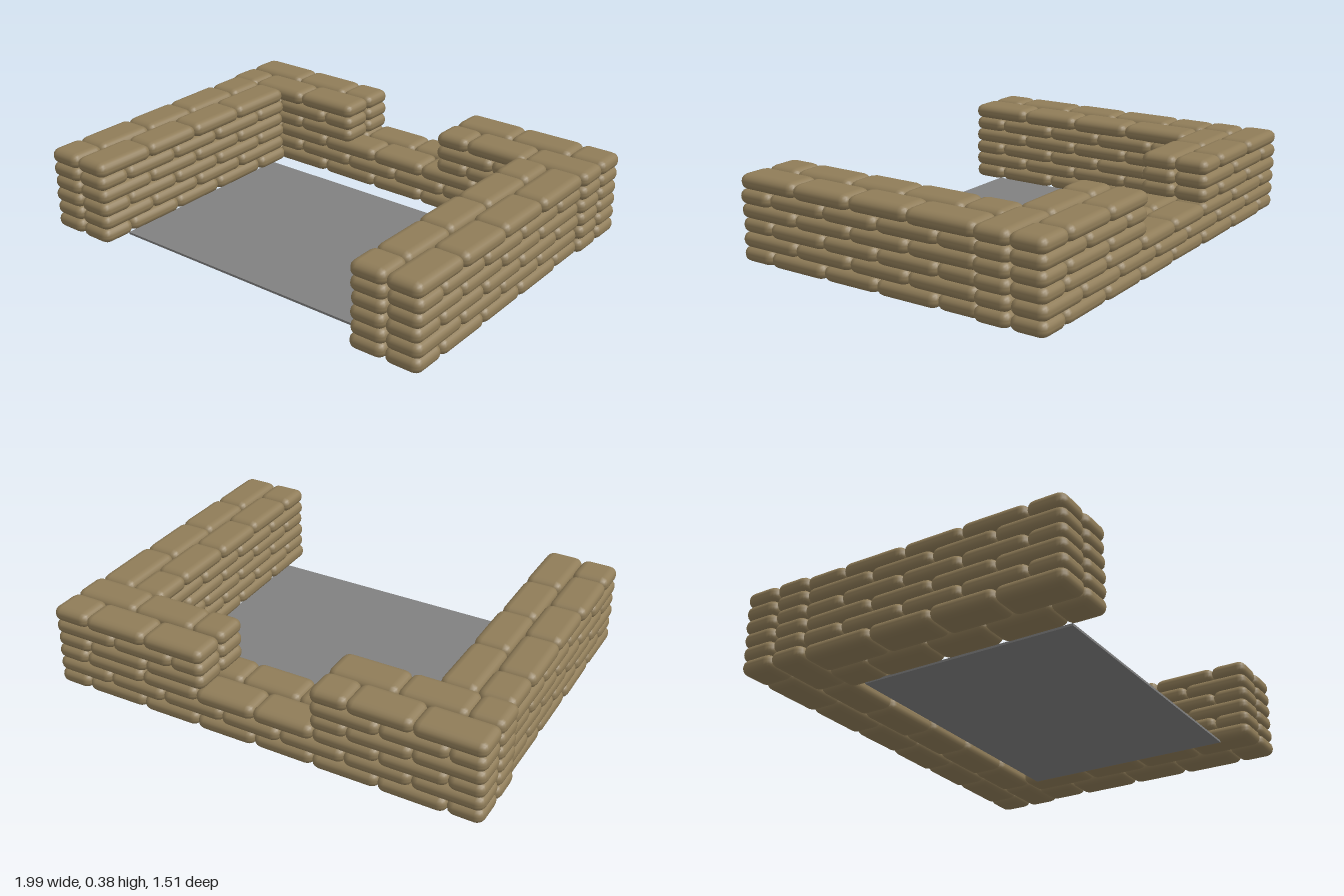
import * as THREE from 'three';
import { RoundedBoxGeometry } from 'three/addons/geometries/RoundedBoxGeometry.js';

const bagMaterial = new THREE.MeshStandardMaterial({ color: 0x8f7c58 });
const floorMaterial = new THREE.MeshStandardMaterial({ color: 0x808080 });

const COURSES = 6;
const PITCH = 0.0615;
const BAG_HEIGHT = 0.068;
const BAG_WIDTH = 0.162;

// small seeded generator for slight irregularity
let seed = 7;
function jitter(amount) {
  seed = (seed * 16807) % 2147483647;
  return (seed / 2147483647 - 0.5) * 2 * amount;
}

// one pillow-shaped bag lying along x
function makeBag(length) {
  const tall = 0.08;
  const geometry = new RoundedBoxGeometry(length + 0.006, tall, BAG_WIDTH + jitter(0.003), 2, 0.036);
  geometry.scale(1, BAG_HEIGHT / tall, 1);
  const bag = new THREE.Mesh(geometry, bagMaterial);
  bag.name = 'bag';
  return bag;
}

// one line of bags between successive joints, along x or z
function addRow(parent, joints, course, axis, across) {
  for (let i = 0; i < joints.length - 1; i++) {
    const bag = makeBag(joints[i + 1] - joints[i]);
    const mid = (joints[i] + joints[i + 1]) / 2;
    const offset = across + jitter(0.003);
    const y = 0.038 + course * PITCH + jitter(0.001);
    if (axis === 'x') bag.position.set(mid, y, offset);
    else bag.position.set(offset, y, mid);
    bag.rotation.y = (axis === 'x' ? 0 : Math.PI / 2) + jitter(0.01);
    parent.add(bag);
  }
}

// alternating joint patterns
const sideJoints = [
  [-0.45, -0.26, 0.03, 0.30, 0.585, 0.745],
  [-0.44, -0.12, 0.165, 0.45, 0.745],
];
const backJoints = [
  [-0.99, -0.84, -0.55, -0.26, 0.01, 0.28, 0.55, 0.84, 0.99],
  [-0.99, -0.69, -0.40, -0.11, 0.16, 0.45, 0.72, 0.99],
];
// shorter runs on either side of the opening
const leftPierJoints = [[0.245, 0.40, 0.69, 0.99], [0.245, 0.53, 0.82, 0.99]];
const rightPierJoints = [[-0.99, -0.84, -0.55, -0.25], [-0.99, -0.69, -0.41, -0.25]];

export function createModel() {
  seed = 7;
  const model = new THREE.Group();
  model.name = 'bagWallEmplacement';

  // side walls, two bags thick
  const sides = [
    { name: 'leftWall', rows: [0.732, 0.896] },
    { name: 'rightWall', rows: [-0.896, -0.732] },
  ];
  for (const { name, rows } of sides) {
    const wall = new THREE.Group();
    wall.name = name;
    for (let c = 0; c < COURSES; c++)
      rows.forEach((x, r) => addRow(wall, sideJoints[(c + r + 1) % 2], c, 'z', x));
    model.add(wall);
  }

  // back wall with an opening above the third course
  const back = new THREE.Group();
  back.name = 'backWall';
  for (let c = 0; c < COURSES; c++) {
    [-0.674, -0.514].forEach((z, r) => {
      const pattern = (c + r) % 2;
      if (c < 3) addRow(back, backJoints[pattern], c, 'x', z);
      else {
        addRow(back, leftPierJoints[pattern], c, 'x', z);
        addRow(back, rightPierJoints[pattern], c, 'x', z);
      }
    });
  }
  model.add(back);

  // thin ground sheet between the walls
  const floor = new THREE.Mesh(new THREE.BoxGeometry(1.34, 0.01, 0.97), floorMaterial);
  floor.name = 'floor';
  floor.position.set(0, 0.005, 0.118);
  model.add(floor);

  return model;
}
